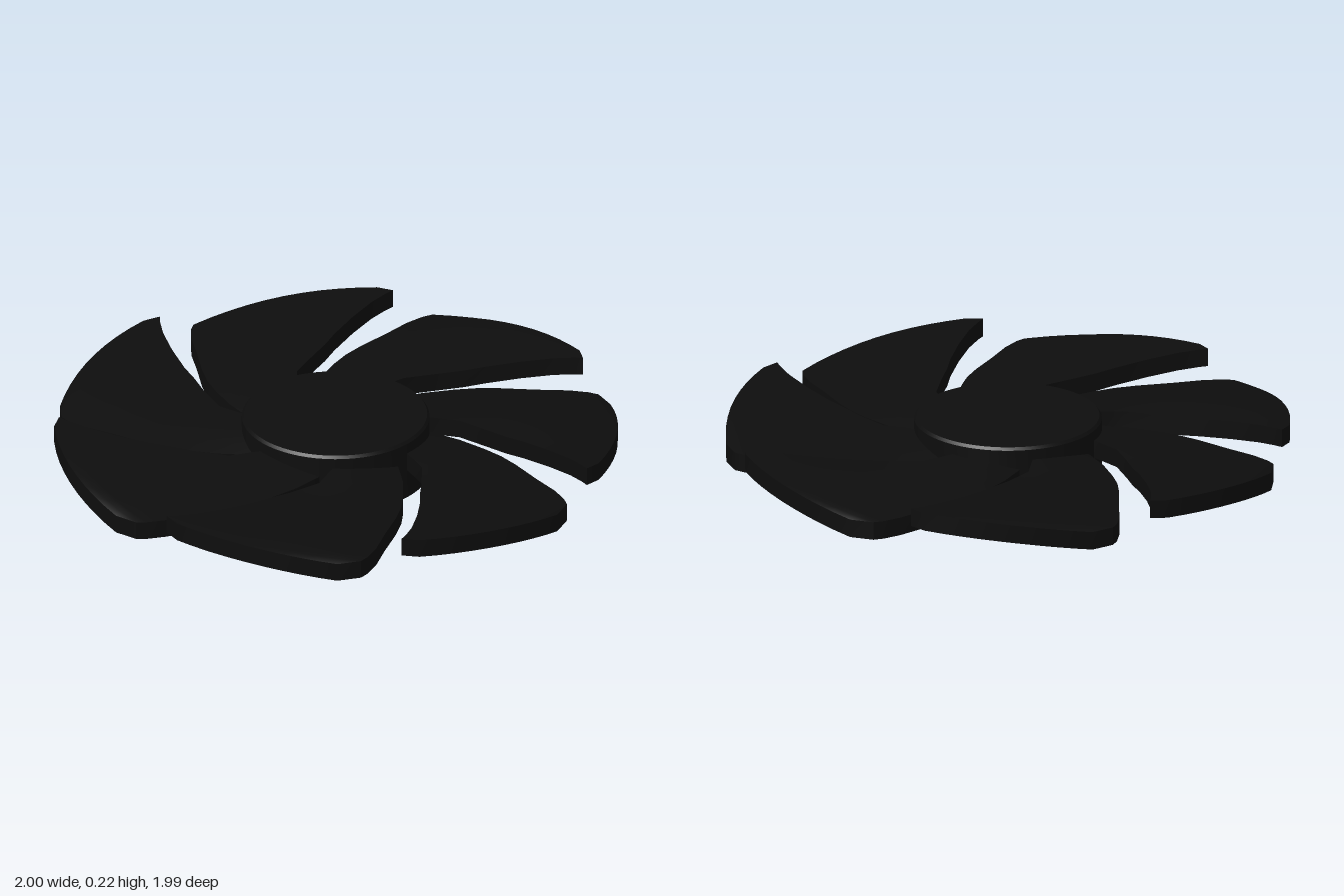
import * as THREE from 'three';
import { toCreasedNormals } from 'three/addons/utils/BufferGeometryUtils.js';

const BLADES = 7;
const CHORD = 10; // points across a blade

// Blade stations: radius, angle of low edge, angle of high edge (degrees), height of high edge
const STATIONS = [
  [0.28, -38, 7, 0.175], [0.34, -33, 10.3, 0.175], [0.44, -25, 15.4, 0.172],
  [0.54, -18.4, 25, 0.175], [0.61, -14.5, 30, 0.18], [0.68, -10.4, 33.2, 0.186],
  [0.79, -4.8, 37.9, 0.197], [0.89, -1.4, 41.7, 0.207], [0.95, 1, 44.2, 0.213],
  [0.978, 2.6, 45.5, 0.216], [0.998, 7.5, 42, 0.212],
];

// Swept, pitched blade skinned over closed cross-sections
function bladeGeometry() {
  const pos = [], index = [], loop = CHORD * 2;
  for (const [r, low, high, yHigh] of STATIONS) {
    for (let j = 0; j < loop; j++) {
      const top = j < CHORD;
      const u = (top ? j : loop - 1 - j) / (CHORD - 1);
      const a = THREE.MathUtils.degToRad(THREE.MathUtils.lerp(low, high, u));
      const yTop = THREE.MathUtils.lerp(0.14, yHigh, u) + 0.008 * Math.sin(Math.PI * u);
      pos.push(r * Math.sin(a), top ? yTop : yTop - 0.066, -r * Math.cos(a));
    }
  }
  for (let s = 0; s < STATIONS.length - 1; s++) {
    for (let j = 0; j < loop; j++) {
      const a = s * loop + j, b = s * loop + (j + 1) % loop;
      index.push(a, b, a + loop, b, b + loop, a + loop);
    }
  }
  // Blunt outer tip
  const tip = (STATIONS.length - 1) * loop;
  for (let j = 0; j < CHORD - 1; j++) {
    const a = tip + j, b = a + 1, c = tip + loop - 2 - j, d = c + 1;
    index.push(a, b, c, a, c, d);
  }
  const geo = new THREE.BufferGeometry();
  geo.setAttribute('position', new THREE.Float32BufferAttribute(pos, 3));
  geo.setIndex(index);
  return toCreasedNormals(geo, 0.6);
}

export function createModel() {
  const group = new THREE.Group();
  group.name = 'fanRotor';
  const material = new THREE.MeshStandardMaterial({ color: 0x0d0d0d });

  const rotor = new THREE.Group();
  rotor.name = 'rotor';
  rotor.position.set(0.003, 0, -0.006);
  group.add(rotor);

  // Solid hub with a slightly bevelled top rim
  const profile = [[0, 0], [0.332, 0], [0.332, 0.212], [0.324, 0.222], [0, 0.222]]
    .map(([x, y]) => new THREE.Vector2(x, y));
  const hub = new THREE.Mesh(toCreasedNormals(new THREE.LatheGeometry(profile, 64), 0.5), material);
  hub.name = 'hub';
  rotor.add(hub);

  // Ring of blades
  const geo = bladeGeometry();
  for (let i = 0; i < BLADES; i++) {
    const blade = new THREE.Mesh(geo, material);
    blade.name = 'blade' + (i + 1);
    blade.rotation.y = -i * Math.PI * 2 / BLADES;
    rotor.add(blade);
  }
  return group;
}
